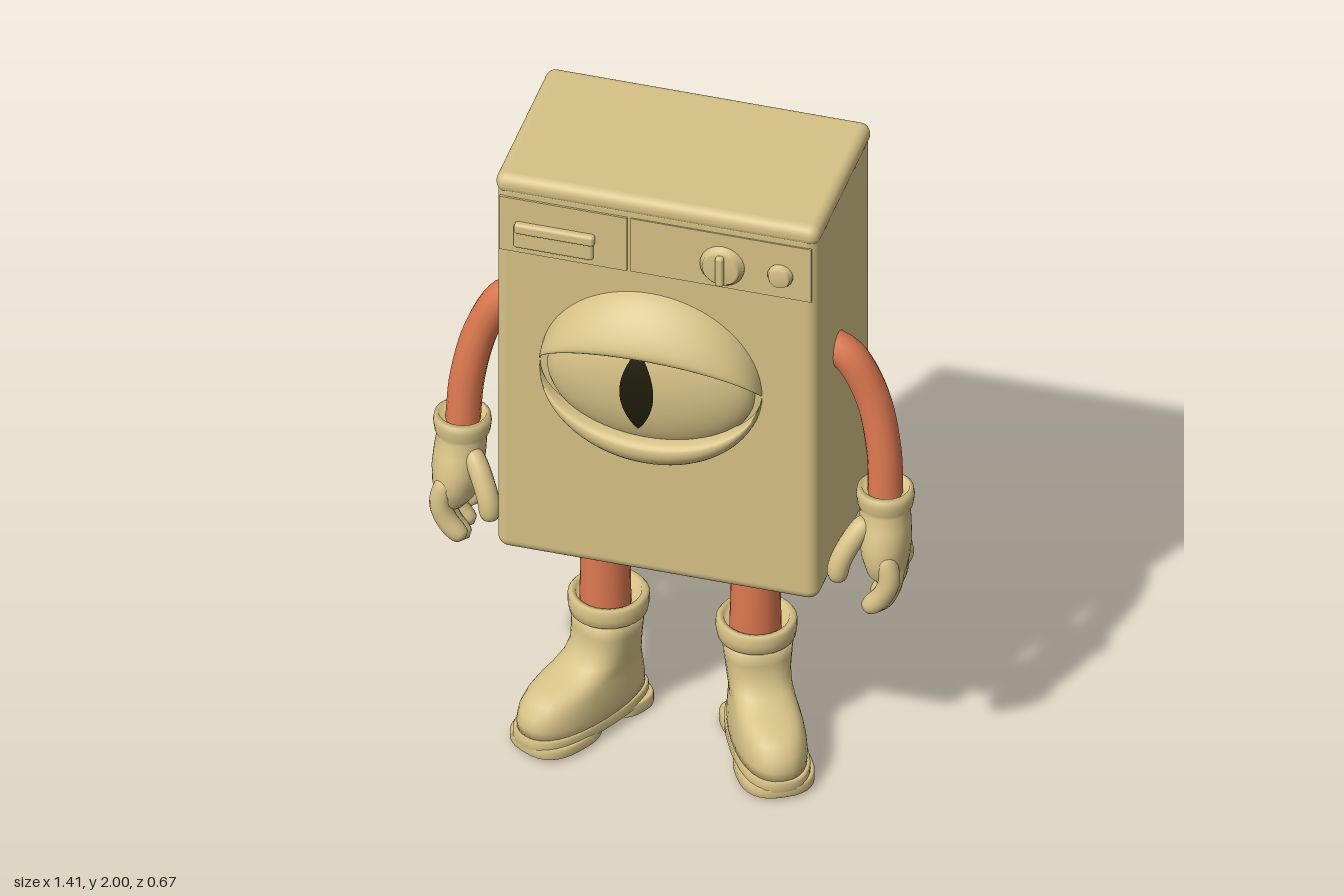
import * as THREE from 'three';
import { mergeVertices } from 'three/addons/utils/BufferGeometryUtils.js';
import { RoundedBoxGeometry } from 'three/addons/geometries/RoundedBoxGeometry.js';

const mat = (name, color) => {
  const m = new THREE.MeshStandardMaterial({ color });
  m.name = name;
  return m;
};

// Weld the seams and recompute smooth normals
function smooth(geo) {
  geo.deleteAttribute('uv');
  geo.deleteAttribute('normal');
  const g = mergeVertices(geo, 1e-4);
  g.computeVertexNormals();
  return g;
}

// Surface from a grid of points fn(s, t), both 0..1
function surface(ns, nt, fn) {
  const pos = [], idx = [];
  for (let j = 0; j <= nt; j++)
    for (let i = 0; i <= ns; i++) pos.push(...fn(i / ns, j / nt));
  for (let j = 0; j < nt; j++)
    for (let i = 0; i < ns; i++) {
      const a = j * (ns + 1) + i, b = a + 1, c = a + ns + 1, d = c + 1;
      idx.push(a, b, d, a, d, c);
    }
  const g = new THREE.BufferGeometry();
  g.setAttribute('position', new THREE.Float32BufferAttribute(pos, 3));
  g.setIndex(idx);
  return smooth(g);
}

// Stacked horizontal rings: [y, zBack, zFront, halfWidth]; n = squareness, flare = wider front
function rings(rows, n = 2, flare = 0) {
  const first = rows[0], last = rows[rows.length - 1];
  const close = (r) => [r[0], (r[1] + r[2]) / 2, (r[1] + r[2]) / 2, 0];
  const all = [close(first), ...rows, close(last)];
  const pw = (v) => Math.sign(v) * Math.abs(v) ** (2 / n);
  return surface(32, all.length - 1, (s, t) => {
    const [y, z0, z1, w] = all[Math.round(t * (all.length - 1))];
    const a = s * Math.PI * 2;
    const c = pw(Math.cos(a)), d = pw(-Math.sin(a));
    return [c * w * (1 + flare * d), y, (z0 + z1) / 2 + d * (z1 - z0) / 2];
  });
}

// Tube along points whose radius follows r(t)
function limb(points, r, segs = 20) {
  const curve = new THREE.CatmullRomCurve3(points.map((p) => new THREE.Vector3(...p)));
  const g = new THREE.TubeGeometry(curve, segs, 1, 14);
  const p = g.attributes.position, v = new THREE.Vector3();
  for (let i = 0; i < p.count; i++) {
    const t = Math.floor(i / 15) / segs, c = curve.getPointAt(t);
    v.fromBufferAttribute(p, i).sub(c).multiplyScalar(r(t)).add(c);
    p.setXYZ(i, v.x, v.y, v.z);
  }
  return smooth(g);
}
const digit = (r) => (t) => r * Math.sqrt(Math.max(0, 1 - Math.abs(2 * t - 1) ** 7));

function mirrorX(geo) {
  const g = geo.clone().scale(-1, 1, 1), ix = g.index;
  for (let i = 0; i < ix.count; i += 3) {
    const a = ix.getX(i);
    ix.setX(i, ix.getX(i + 1));
    ix.setX(i + 1, a);
  }
  g.computeVertexNormals();
  return g;
}

export function createModel() {
  const model = new THREE.Group();
  model.name = 'applianceCreature';
  const tan = mat('tan', 0xd6c186);
  const orange = mat('orange', 0xdc7850);
  const black = mat('black', 0x1e1c0a);

  const add = (name, geo, m, x = 0, y = 0, z = 0) => {
    const mesh = new THREE.Mesh(geo, m);
    mesh.name = name;
    mesh.position.set(x, y, z);
    model.add(mesh);
    return mesh;
  };
  const pair = (name, geo, m) => {
    add(name + 'Left', geo, m);
    add(name + 'Right', mirrorX(geo), m);
  };

  // Cabinet with a slightly wider top
  add('cabinet', new RoundedBoxGeometry(0.944, 1.29, 0.541, 5, 0.035), tan, 0, 1.335, -0.0625);
  add('cabinetTop', new RoundedBoxGeometry(0.95, 0.065, 0.547, 5, 0.03), tan, 0, 1.9675, -0.0625);

  // Control panel: two plates, drawer and knobs
  add('drawerPanel', new THREE.BoxGeometry(0.375, 0.185, 0.008), tan, -0.2725, 1.84, 0.21);
  add('knobPanel', new THREE.BoxGeometry(0.53, 0.185, 0.006), tan, 0.19, 1.84, 0.209);
  add('drawer', new RoundedBoxGeometry(0.235, 0.08, 0.03, 3, 0.01), tan, -0.3, 1.805, 0.208);
  add('drawerHandle', new RoundedBoxGeometry(0.235, 0.035, 0.045, 3, 0.01), tan, -0.295, 1.838, 0.21);
  const knob = (name, r, depth, x) => {
    const pts = [[0, depth], [r * 0.75, depth], [r * 0.85, depth * 0.8], [r * 0.87, depth * 0.4], [r, depth * 0.35], [r, 0]];
    const g = new THREE.LatheGeometry(pts.map((p) => new THREE.Vector2(...p)).reverse(), 24);
    g.rotateX(Math.PI / 2);
    add(name, g, tan, x, 1.825, 0.208);
  };
  knob('largeKnob', 0.065, 0.03, 0.195);
  add('largeKnobGrip', new RoundedBoxGeometry(0.024, 0.1, 0.03, 3, 0.008), tan, 0.195, 1.825, 0.237);
  knob('smallKnob', 0.037, 0.027, 0.365);

  // Eyeball, slit pupil and lids
  const ex = -0.015, ey = 1.385, ez = 0.205;
  const ball = new THREE.SphereGeometry(1, 40, 28).scale(0.305, 0.215, 0.1);
  add('eyeball', ball, tan, ex, ey, ez);
  add('pupil', surface(8, 18, (s, t) => {
    const v = t * 2 - 1;
    const x = -0.015 + (s * 2 - 1) * 0.05 * Math.cos(v * Math.PI / 2) ** 0.8, y = 0.01 + v * 0.135;
    return [x, y, 0.1 * Math.sqrt(1 - (x / 0.305) ** 2 - (y / 0.215) ** 2) + 0.004];
  }), black, ex, ey, ez);
  const lid = (name, dir, section) => {
    const path = new THREE.CatmullRomCurve3(section.map(([y, z]) => new THREE.Vector3(0, y, z)));
    add(name, surface(40, 20, (s, t) => {
      const a = s * Math.PI, p = path.getPoint(t), w = Math.sin(a);
      return [-Math.cos(a) * 0.325 * dir, p.y * w, p.z * w ** 0.8];
    }), tan, ex, ey, ez);
  };
  lid('upperLid', 1, [[0.125, 0.05], [0.13, 0.1], [0.15, 0.127], [0.185, 0.118], [0.24, 0.078], [0.28, 0.03], [0.295, 0]]);
  lid('lowerLid', -1, [[-0.165, 0.04], [-0.17, 0.085], [-0.185, 0.103], [-0.215, 0.102], [-0.25, 0.075], [-0.27, 0.035], [-0.275, 0]]);

  // Arms
  pair('arm', limb([[0.43, 1.455, 0], [0.5, 1.425, 0], [0.57, 1.3, 0], [0.61, 1.13, 0.015], [0.62, 0.97, 0.03]],
    () => 0.05, 28), orange);

  // Gloves: cuff and palm, four fingers, thumb
  const palm = rings([
    [0.72, 0.0, 0.11, 0.035], [0.75, -0.025, 0.135, 0.056], [0.8, -0.035, 0.145, 0.068], [0.85, -0.035, 0.14, 0.074],
    [0.9, -0.033, 0.12, 0.074], [0.94, -0.035, 0.103, 0.072], [0.955, -0.045, 0.108, 0.079],
    [0.985, -0.05, 0.112, 0.083], [1.005, -0.047, 0.108, 0.08], [1.01, -0.035, 0.095, 0.068], [0.99, -0.03, 0.09, 0.062],
  ]);
  palm.translate(0.62, 0, 0);
  const pp = palm.attributes.position;
  for (let i = 0; i < pp.count; i++) pp.setX(i, pp.getX(i) + Math.max(0, 0.95 - pp.getY(i)) * 0.06);
  pair('glove', palm, tan);
  [[-0.012, 0.655], [0.035, 0.615], [0.082, 0.6], [0.125, 0.625]].forEach(([z, tip], i) => {
    pair('finger' + (i + 1), limb([[0.64, 0.84, z * 0.9], [0.658, 0.75, z], [0.635, tip + 0.065, z], [0.585, tip + 0.012, z]],
      digit(0.031)), tan);
  });
  pair('thumb', limb([[0.585, 0.92, 0.07], [0.545, 0.86, 0.105], [0.515, 0.79, 0.13], [0.508, 0.725, 0.135]],
    digit(0.032)), tan);

  // Legs
  pair('leg', smooth(new THREE.CylinderGeometry(0.068, 0.074, 0.36, 24, 1, true).translate(0.22, 0.53, -0.034)), orange);

  // Boots, toes turned outward
  const place = (g) => g.rotateY(Math.PI / 6).translate(0.217, 0, -0.055);
  pair('boot', place(rings([
    [0.05, -0.12, 0.325, 0.098], [0.09, -0.12, 0.328, 0.1], [0.125, -0.115, 0.318, 0.098], [0.155, -0.11, 0.29, 0.094],
    [0.175, -0.107, 0.25, 0.09], [0.19, -0.105, 0.2, 0.088], [0.215, -0.102, 0.14, 0.088], [0.25, -0.1, 0.108, 0.09],
    [0.3, -0.1, 0.098, 0.096], [0.36, -0.103, 0.1, 0.101],
  ], 2.3, 0.1)), tan);
  pair('bootCuff', place(rings([
    [0.345, -0.1, 0.1, 0.1], [0.352, -0.113, 0.112, 0.111], [0.375, -0.117, 0.116, 0.115],
    [0.402, -0.117, 0.116, 0.115], [0.412, -0.109, 0.108, 0.107], [0.41, -0.095, 0.094, 0.093], [0.385, -0.088, 0.087, 0.086],
  ])), tan);
  const pad = (y0, y1, z0, z1, w, flare) => place(rings([
    [y0, z0 + 0.006, z1 - 0.006, w - 0.006], [y0 + 0.005, z0, z1, w], [y1 - 0.005, z0, z1, w], [y1, z0 + 0.006, z1 - 0.006, w - 0.006],
  ], 2.6, flare));
  pair('sole', pad(0.025, 0.062, -0.128, 0.335, 0.103, 0.1), tan);
  pair('soleHeel', pad(0, 0.04, -0.127, 0.035, 0.093, 0), tan);
  pair('soleFront', pad(0.006, 0.04, 0.075, 0.333, 0.11, 0), tan);
  pair('bootStud', place(smooth(new THREE.SphereGeometry(0.018, 14, 10).translate(0, 0.23, -0.105))), tan);

  return model;
}
